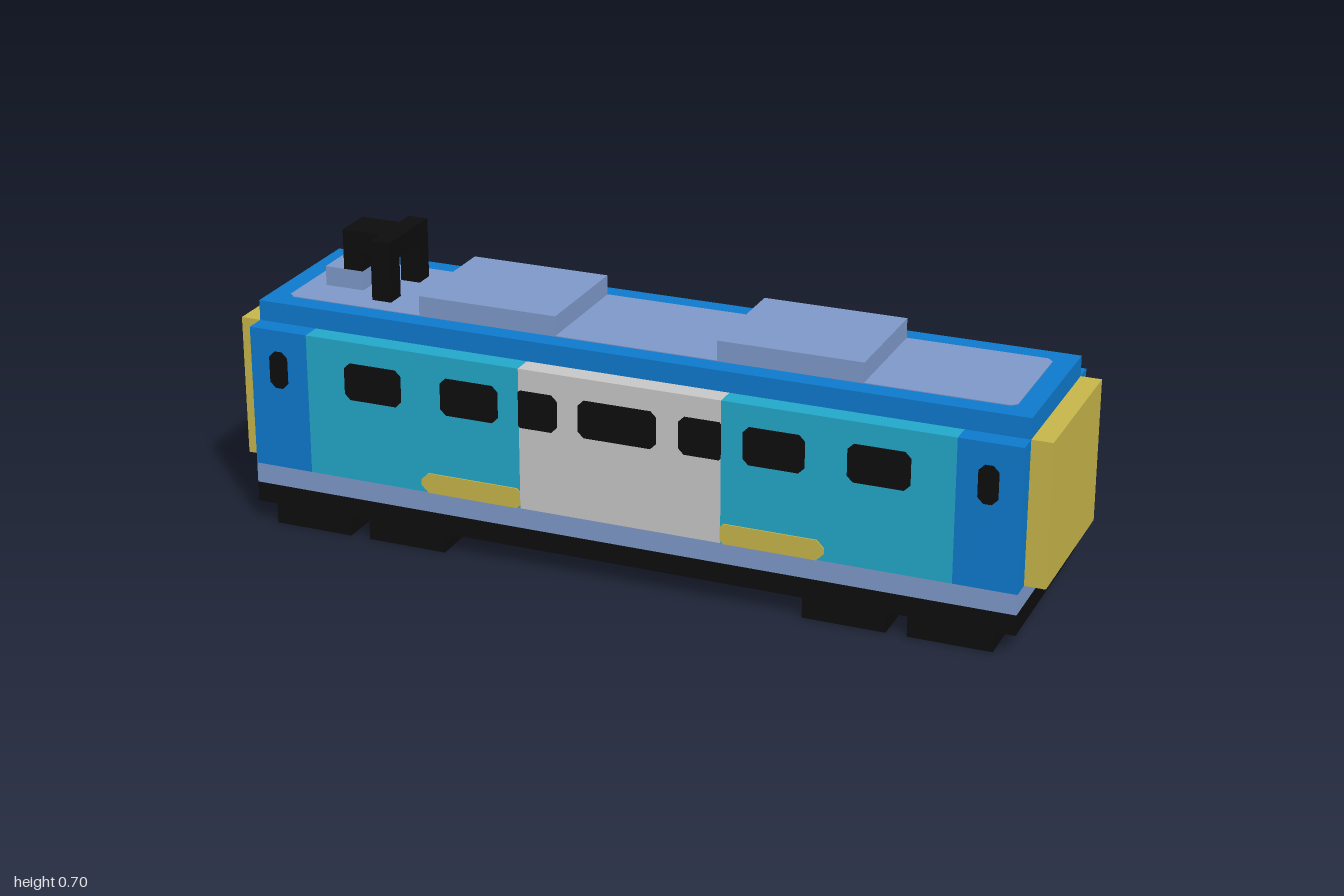
import * as THREE from 'three';

const material = (name, color) => new THREE.MeshStandardMaterial({ name, color });

export function createModel() {
  const blue = material('blue', 0x0e7acd);
  const teal = material('teal', 0x23a8cb);
  const grey = material('light grey', 0xc8c8c8);
  const lavender = material('lavender', 0x7f99ca);
  const yellow = material('yellow', 0xc8b64b);
  const black = material('black', 0x0d0d0d);

  const train = new THREE.Group();
  train.name = 'railcar';

  // Box given by its limits on each axis
  function box(name, mat, x0, x1, y0, y1, z0, z1, parent = train) {
    const mesh = new THREE.Mesh(new THREE.BoxGeometry(x1 - x0, y1 - y0, z1 - z0), mat);
    mesh.name = name;
    mesh.position.set((x0 + x1) / 2, (y0 + y1) / 2, (z0 + z1) / 2);
    parent.add(mesh);
    return mesh;
  }

  // Thin plate with clipped corners; cutL and cutR clip the left and right ends
  function plateGeometry(x0, x1, y0, y1, cutL, cutR) {
    const shape = new THREE.Shape([
      [x0 + cutL, y0], [x1 - cutR, y0], [x1, y0 + cutR], [x1, y1 - cutR],
      [x1 - cutR, y1], [x0 + cutL, y1], [x0, y1 - cutL], [x0, y0 + cutL],
    ].map(([x, y]) => new THREE.Vector2(x, y)));
    return new THREE.ExtrudeGeometry(shape, { depth: 0.003, bevelEnabled: false });
  }

  // Underframe, wheel blocks and skirt
  box('underframe', black, -0.95, 0.95, 0.05, 0.1, -0.25, 0.25);
  for (const x of [-0.9, -0.65, 0.45, 0.7]) {
    box('wheelBlock', black, x, x + 0.2, 0, 0.05, -0.25, 0.25);
  }
  box('skirt', lavender, -0.95, 0.95, 0.1, 0.15, -0.25, 0.25);

  // Body sections from end to end
  const sections = [
    ['cabSection', blue, -0.95, -0.8], ['saloonSection', teal, -0.8, -0.25],
    ['middleSection', grey, -0.25, 0.25],
    ['saloonSection', teal, 0.25, 0.8], ['cabSection', blue, 0.8, 0.95],
  ];
  for (const [name, mat, x0, x1] of sections) box(name, mat, x0, x1, 0.15, 0.5, -0.25, 0.25);

  // End gangways
  box('rightGangway', yellow, -1, -0.95, 0.15, 0.5, -0.2, 0.2);
  box('leftGangway', yellow, 0.95, 1, 0.15, 0.5, -0.2, 0.2);

  // Windows and yellow sill panels on both sides
  const r = 0.014;
  const windows = [
    [-0.9, -0.853, r, r], [-0.7, -0.553, r, r], [-0.45, -0.303, r, r],
    [-0.25, -0.153, 0.004, r], [-0.1, 0.093, r, r], [0.147, 0.25, r, 0.004],
    [0.303, 0.45, r, r], [0.55, 0.697, r, r], [0.85, 0.897, r, r],
  ];
  const sills = [[-0.505, -0.25, 0.018, 0.008], [0.25, 0.5, 0.008, 0.018]];
  for (const side of [1, -1]) {
    const panel = new THREE.Group();
    panel.name = side > 0 ? 'frontSideDetails' : 'backSideDetails';
    const add = (name, mat, [x0, x1, cutL, cutR], y0, y1) => {
      // On the back the plate is turned round, so its ends swap
      const geometry = side > 0
        ? plateGeometry(x0, x1, y0, y1, cutL, cutR)
        : plateGeometry(-x1, -x0, y0, y1, cutR, cutL);
      const mesh = new THREE.Mesh(geometry, mat);
      mesh.name = name;
      mesh.position.z = 0.25;
      panel.add(mesh);
    };
    for (const w of windows) add('window', black, w, 0.355, 0.447);
    for (const s of sills) add('sillPanel', yellow, s, 0.15, 0.2);
    if (side < 0) panel.rotation.y = Math.PI;
    train.add(panel);
  }

  // Roof with its painted walkway
  box('roof', blue, -0.95, 0.95, 0.5, 0.55, -0.2, 0.2);
  const walkway = new THREE.Mesh(plateGeometry(-0.9, 0.9, -0.15, 0.15, 0.014, 0.014), lavender);
  walkway.name = 'roofWalkway';
  walkway.rotation.x = -Math.PI / 2;
  walkway.position.y = 0.549;
  train.add(walkway);

  // Roof units
  box('roofUnit', lavender, -0.55, -0.2, 0.55, 0.6, -0.15, 0.15);
  box('roofUnit', lavender, 0.2, 0.55, 0.55, 0.6, -0.15, 0.15);

  // Current collector on its base
  const collector = new THREE.Group();
  collector.name = 'currentCollector';
  box('collectorBase', lavender, -0.85, -0.75, 0.55, 0.6, -0.05, 0.05, collector);
  box('collectorPost', black, -0.8, -0.75, 0.6, 0.65, -0.05, 0.05, collector);
  box('collectorArm', black, -0.8, -0.7, 0.65, 0.7, -0.05, 0.05, collector);
  box('collectorBar', black, -0.7, -0.65, 0.65, 0.7, -0.1, 0.1, collector);
  for (const z of [-0.1, 0.05]) {
    box('collectorLeg', black, -0.7, -0.65, 0.55, 0.65, z, z + 0.05, collector);
  }
  train.add(collector);

  return train;
}
